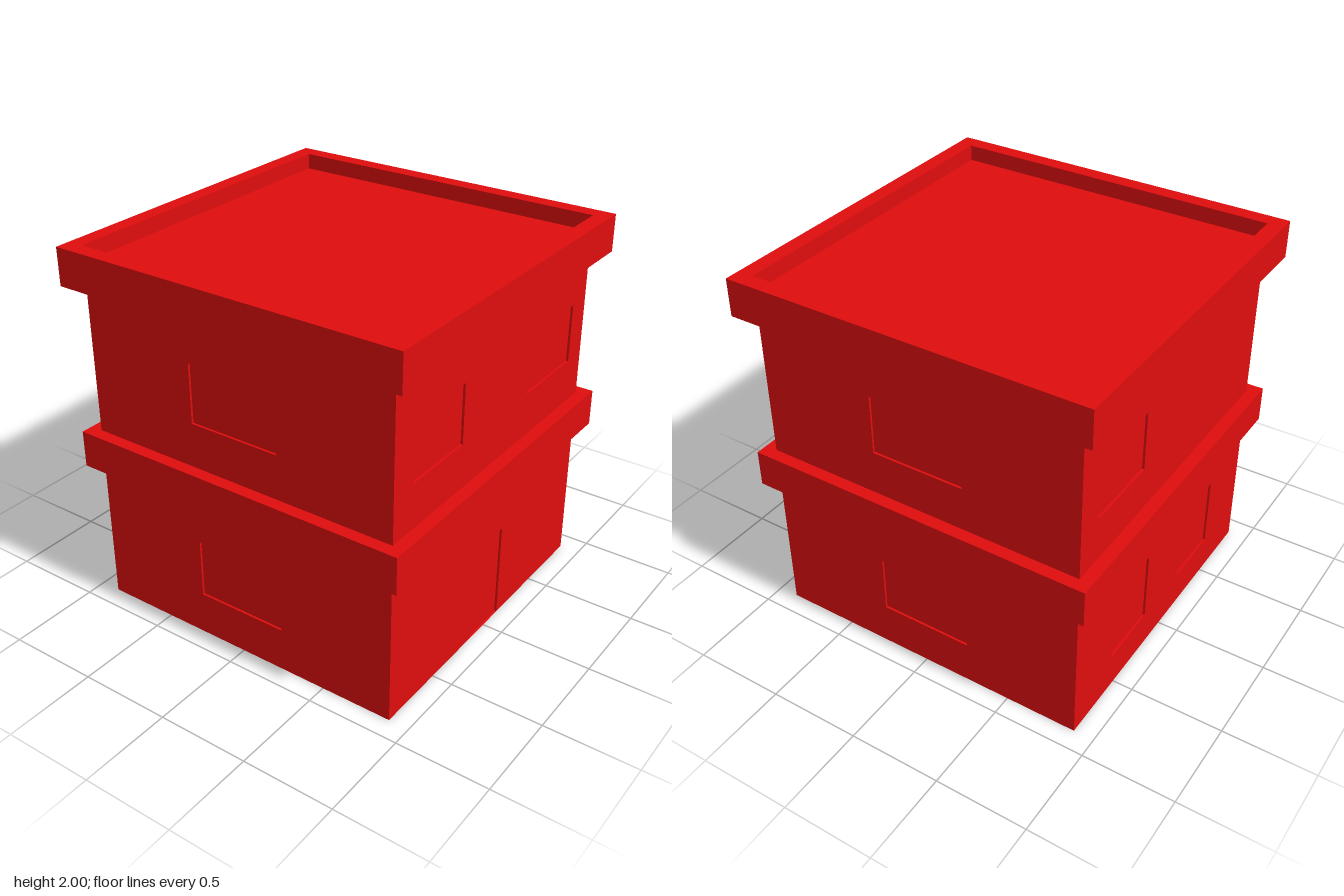
import * as THREE from 'three';

const WALL = 0.89;      // half width of the walls
const STOREY = 0.8;     // wall height of one storey
const RECESS = 0.012;   // depth of windows and door

const red = new THREE.MeshStandardMaterial({ color: 0xe00d0d, side: THREE.DoubleSide, flatShading: true });

function part(name, geometry) {
  const mesh = new THREE.Mesh(geometry, red);
  mesh.name = name;
  return mesh;
}

// Square ring swept from a [half width, height] profile
function squareRing(name, profile) {
  const points = profile.map(([r, y]) => new THREE.Vector2(r * Math.SQRT2, y));
  const geometry = new THREE.LatheGeometry(points, 4, Math.PI / 4).toNonIndexed();
  geometry.computeVertexNormals();
  return part(name, geometry);
}

// Open-fronted shallow box set back from the wall plane
function recess(name, [x0, x1, y0, y1]) {
  const box = new THREE.BoxGeometry(x1 - x0, y1 - y0, RECESS);
  const index = Array.from(box.index.array);
  index.splice(24, 6); // leave out the outer face
  box.setIndex(index);
  box.clearGroups();
  box.translate((x0 + x1) / 2, (y0 + y1) / 2, -RECESS / 2);
  // the visible sides are the inner ones
  for (let i = 0; i < index.length; i += 3) [index[i], index[i + 1]] = [index[i + 1], index[i]];
  box.setIndex(index);
  const geometry = box.toNonIndexed();
  geometry.computeVertexNormals();
  return part(name, geometry);
}

// One wall sheet in its own xy plane, openings are [x0, x1, y0, y1]
function wall(name, windows, door) {
  const group = new THREE.Group();
  group.name = name;
  const outline = [[-WALL, 0]];
  if (door) outline.push([door[0], 0], [door[0], door[3]], [door[1], door[3]], [door[1], 0]);
  outline.push([WALL, 0], [WALL, STOREY], [-WALL, STOREY]);
  const shape = new THREE.Shape(outline.map(([x, y]) => new THREE.Vector2(x, y)));
  for (const [x0, x1, y0, y1] of windows) {
    shape.holes.push(new THREE.Path([
      new THREE.Vector2(x0, y0), new THREE.Vector2(x0, y1),
      new THREE.Vector2(x1, y1), new THREE.Vector2(x1, y0),
    ]));
  }
  group.add(part('wallSheet', new THREE.ShapeGeometry(shape)));
  windows.forEach((w) => group.add(recess('window', w)));
  if (door) group.add(recess('door', door));
  return group;
}

// Four walls around the square plan: front, right (+x), back, left (-x)
function storey(name, baseY, walls) {
  const group = new THREE.Group();
  group.name = name;
  walls.forEach(([wallName, windows, door], i) => {
    const sheet = wall(wallName, windows, door);
    const angle = i * Math.PI / 2;
    sheet.rotation.y = angle;
    sheet.position.set(Math.sin(angle) * WALL, 0, Math.cos(angle) * WALL);
    group.add(sheet);
  });
  group.position.y = baseY;
  return group;
}

export function createModel() {
  const building = new THREE.Group();
  building.name = 'building';

  // Side windows sit slightly behind the middle
  const sideA = [[-0.25, 0.26, 0.24, 0.56]];
  const sideB = [[-0.26, 0.25, 0.24, 0.56]];

  building.add(storey('groundFloor', 0, [
    ['frontWall', [], [-0.14, 0.14, 0, 0.53]],
    ['leftWall', sideA],
    ['backWall', [[-0.53, -0.18, 0.2, 0.6], [0.18, 0.53, 0.2, 0.6]]],
    ['rightWall', sideB],
  ]));
  building.add(storey('upperFloor', 1, [
    ['frontWall', [[-0.74, -0.315, 0.24, 0.56], [0.3, 0.755, 0.24, 0.56]]],
    ['leftWall', sideA],
    ['backWall', [[-0.74, -0.31, 0.24, 0.56]]],
    ['rightWall', sideB],
  ]));

  // Hollow band between the storeys
  building.add(squareRing('floorBand', [[WALL, 0.8], [0.957, 0.8], [0.957, 1], [WALL, 1]]));

  // Hollow parapet with the sunken flat roof inside
  building.add(squareRing('parapet', [[WALL, 1.8], [0.975, 1.8], [0.975, 2], [WALL, 2], [WALL, 1.915]]));
  const roof = part('roof', new THREE.PlaneGeometry(2 * WALL, 2 * WALL).rotateX(-Math.PI / 2));
  roof.position.y = 1.915;
  building.add(roof);

  return building;
}
